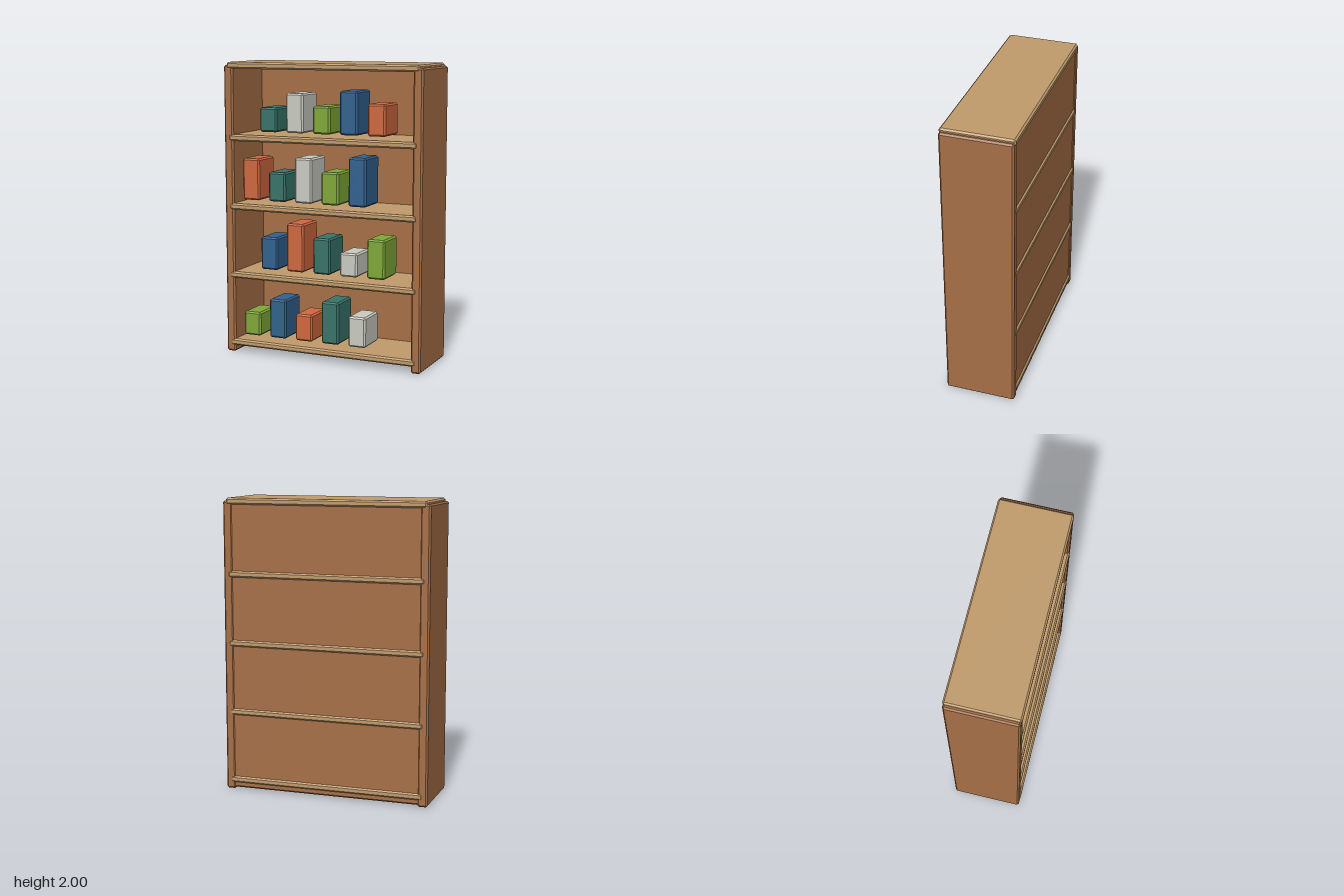
import * as THREE from 'three';
import { ConvexGeometry } from 'three/addons/geometries/ConvexGeometry.js';

const paint = (name, color) => {
  const m = new THREE.MeshStandardMaterial({ color });
  m.name = name;
  return m;
};

// Box with a flat chamfer on every edge
function chamferBox(w, h, d, c = 0.011) {
  const points = [];
  for (const x of [-1, 1]) for (const y of [-1, 1]) for (const z of [-1, 1]) {
    for (let axis = 0; axis < 3; axis++) {
      const inset = [c, c, c];
      inset[axis] = 0;
      points.push(new THREE.Vector3(
        x * (w / 2 - inset[0]), y * (h / 2 - inset[1]), z * (d / 2 - inset[2])));
    }
  }
  return new ConvexGeometry(points);
}

export function createModel() {
  const model = new THREE.Group();
  model.name = 'bookcase';

  const brown = paint('brown wood', 0xa66f46);
  const pale = paint('pale wood', 0xc09b6b);
  const colours = {
    teal: paint('teal', 0x38746a),
    grey: paint('light grey', 0xcacbc1),
    green: paint('green', 0x80a838),
    blue: paint('blue', 0x31628e),
    orange: paint('orange', 0xcf6840),
  };

  // Adds a block by its size, its bottom height and its centre
  const block = (name, material, [w, h, d], x, bottom, z = 0, parent = model) => {
    const mesh = new THREE.Mesh(chamferBox(w, h, d), material);
    mesh.name = name;
    mesh.position.set(x, bottom + h / 2, z);
    parent.add(mesh);
  };

  // Case
  block('leftSide', brown, [0.067, 1.98, 0.476], 0.682, 0);
  block('rightSide', brown, [0.067, 1.98, 0.476], -0.682, 0);
  block('backPanel', brown, [1.33, 1.96, 0.042], 0, 0.01, -0.211);
  block('topBoard', pale, [1.384, 0.045, 0.484], 0, 1.955);

  // Shelves, each with a row of books; alternate rows are shifted sideways
  const rows = [
    [0.045, -0.555, { green: 0.165, blue: 0.27, orange: 0.185, teal: 0.29, grey: 0.207 }],
    [0.522, -0.42, { blue: 0.225, orange: 0.33, teal: 0.245, grey: 0.16, green: 0.265 }],
    [0.997, -0.555, { orange: 0.285, teal: 0.2, grey: 0.305, green: 0.22, blue: 0.325 }],
    [1.468, -0.42, { teal: 0.165, grey: 0.265, green: 0.185, blue: 0.29, orange: 0.21 }],
  ];
  rows.forEach(([y, startX, books], r) => {
    block(`shelf${r + 1}`, pale, [1.364, 0.045, 0.484], 0, y);
    const row = new THREE.Group();
    row.name = `bookRow${r + 1}`;
    Object.entries(books).forEach(([colour, height], i) => {
      block(`${colour}Book`, colours[colour], [0.126, height, 0.225],
        startX + i * 0.197, y + 0.063, 0.05, row);
    });
    model.add(row);
  });

  return model;
}
